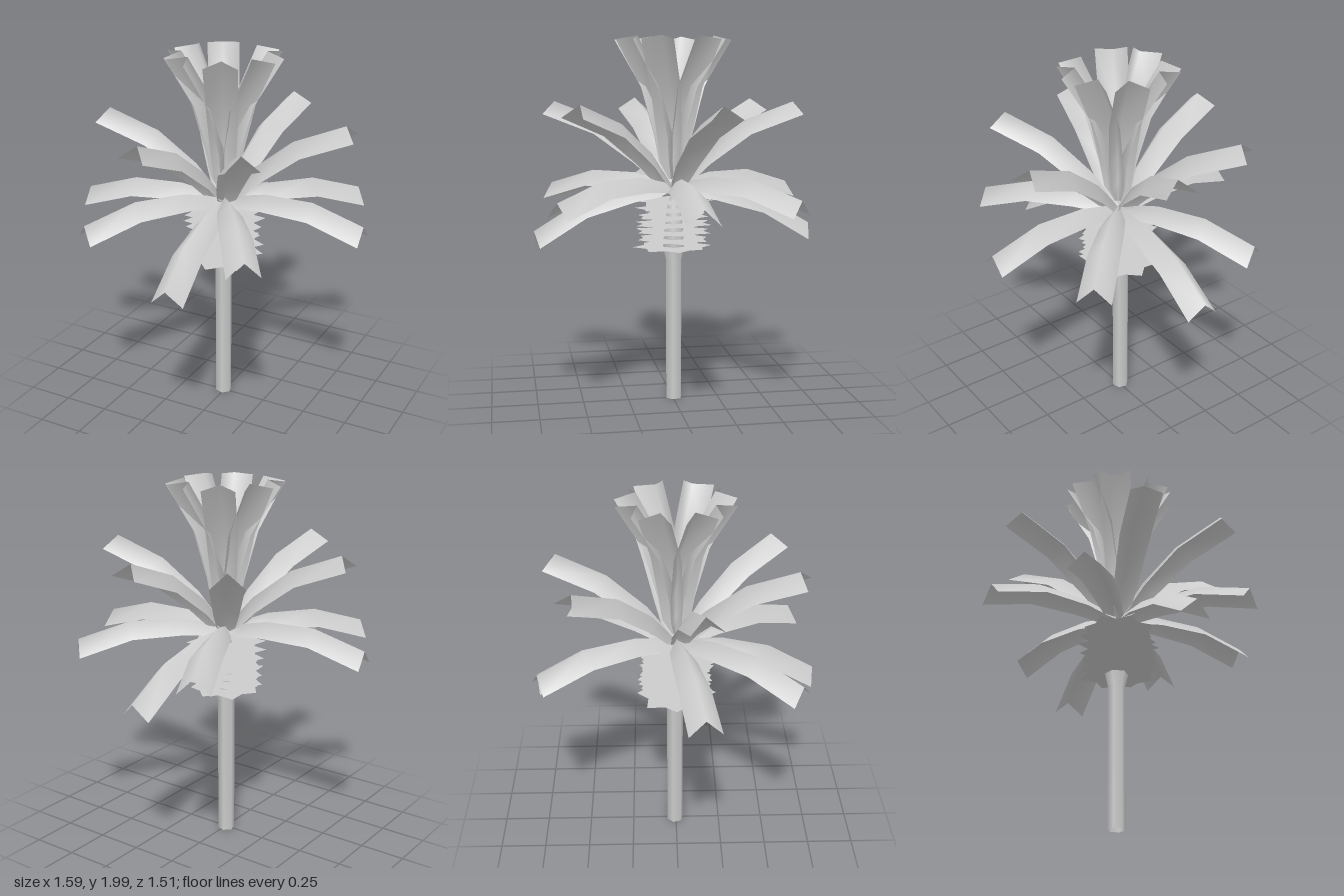
import * as THREE from 'three';

const material = new THREE.MeshStandardMaterial({ color: 0xcccccc, side: THREE.DoubleSide });

// Frond lying along +x: a folded blade with a ridge and two lower rims
function frondGeometry() {
  // distance, ridge height, half width, fold depth
  const stations = [
    [0, 0, 0.012, 0.02], [0.1, 0.025, 0.05, 0.06], [0.24, 0.055, 0.067, 0.075],
    [0.51, 0.055, 0.083, 0.082], [0.79, -0.03, 0.086, 0.083],
  ];
  const positions = [], index = [];
  stations.forEach(([x, y, w, d], i) => {
    positions.push(x, y - d, -w, x, y, 0, x, y - d, w);
    if (i === stations.length - 1) return;
    for (let j = 0; j < 2; j++) {
      const a = i * 3 + j, b = a + 3;
      index.push(a, a + 1, b, a + 1, b + 1, b);
    }
  });
  const geometry = new THREE.BufferGeometry();
  geometry.setAttribute('position', new THREE.Float32BufferAttribute(positions, 3));
  geometry.setIndex(index);
  geometry.computeVertexNormals();
  return geometry;
}

// Flat ragged star used for the old leaf stubs
function stubGeometry(points, outer, inner) {
  const shape = new THREE.Shape();
  for (let i = 0; i < points * 2; i++) {
    const a = (i / points) * Math.PI;
    const r = i % 2 ? inner : outer * (1 + 0.08 * Math.sin(i * 2.3));
    if (i) shape.lineTo(r * Math.cos(a), r * Math.sin(a));
    else shape.moveTo(r, 0);
  }
  return new THREE.ShapeGeometry(shape).rotateX(-Math.PI / 2);
}

export function createModel() {
  const model = new THREE.Group();
  const add = (geometry, name, parent = model) => {
    const mesh = new THREE.Mesh(geometry, material);
    mesh.name = name;
    parent.add(mesh);
    return mesh;
  };

  // Trunk with a swollen neck under the crown
  const profile = [[0.046, 0], [0.046, 0.78], [0.064, 0.86], [0.057, 0.95], [0.036, 1.1], [0.001, 1.18]]
    .map(([r, y]) => new THREE.Vector2(r, y));
  add(new THREE.LatheGeometry(profile, 6, Math.PI / 12), 'trunk').position.set(-0.008, 0, -0.006);

  // Flat leaf stubs stacked around the neck
  const stubs = new THREE.Group();
  stubs.name = 'leafStubs';
  model.add(stubs);
  const stub = stubGeometry(8, 0.21, 0.165);
  for (let i = 0; i < 7; i++) {
    const mesh = add(stub, 'leafStub', stubs);
    mesh.position.y = 0.86 + i * 0.042;
    mesh.rotation.y = i * 0.9;
  }

  // Tiers of fronds: tilt in degrees, base height, and the x, z heading of each frond
  const tiers = [
    ['droopingFronds', -14, 1.195, [[0.07, 0.75], [0.02, -0.74]]],
    ['spreadingFronds', 0, 1.2, [[0.79, -0.018], [0.54, -0.55], [-0.33, -0.72],
      [-0.775, 0.125], [-0.485, 0.64], [0.44, 0.645]]],
    ['risingFronds', 38, 1.185, [[0.645, -0.147], [0.12, -0.66], [-0.41, -0.555],
      [-0.66, 0.13], [-0.15, 0.65], [0.38, 0.55]]],
    ['uprightFronds', 76, 1.235, [[0.11, -0.26], [0.25, -0.13], [0.24, 0.11], [0.11, 0.25],
      [-0.13, 0.24], [-0.25, 0.11], [-0.26, -0.1], [-0.13, -0.24]]],
  ];
  const frond = frondGeometry();
  for (const [name, tilt, height, headings] of tiers) {
    const tier = new THREE.Group();
    tier.name = name;
    tier.position.y = height;
    model.add(tier);
    for (const [x, z] of headings) {
      const heading = -Math.atan2(z, x);
      add(frond, 'frond', tier).rotation.set(0, heading, THREE.MathUtils.degToRad(tilt), 'YXZ');
    }
  }
  return model;
}
